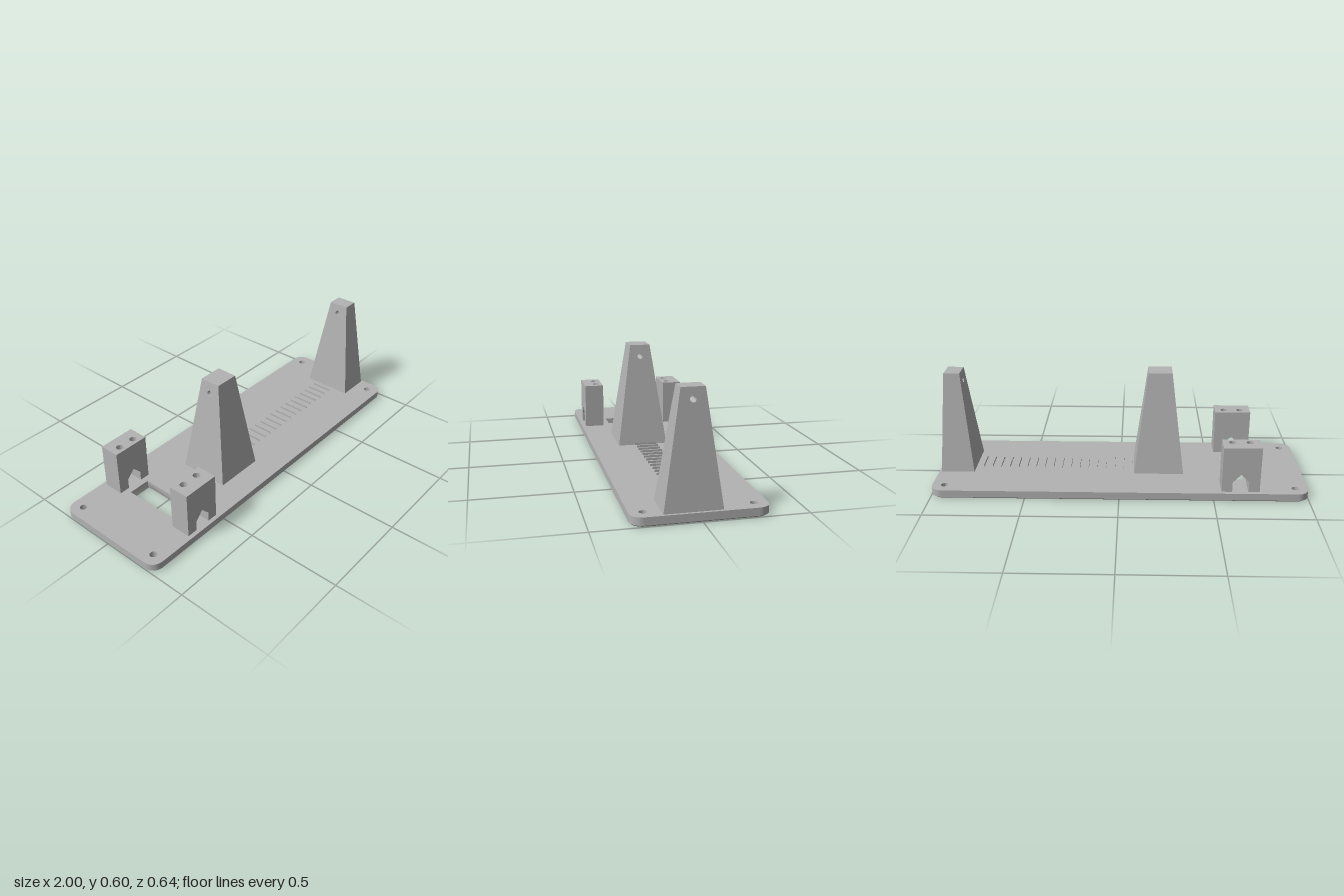
import * as THREE from 'three';
import { toCreasedNormals } from 'three/addons/utils/BufferGeometryUtils.js';

const TOP = 0.045; // top surface of the base plate
const BLIND = 0.22; // floor level of the screw holes in the brackets

const polygon = (pts) => new THREE.Shape(pts.map(([x, y]) => new THREE.Vector2(x, y)));
const rect = (x0, y0, x1, y1) => polygon([[x0, y0], [x1, y0], [x1, y1], [x0, y1]]);
const circle = (x, y, r) => new THREE.Path().absarc(x, y, r, 0, Math.PI * 2, true);

function extrude(shape, depth, steps = 1) {
  return new THREE.ExtrudeGeometry(shape, { depth, steps, bevelEnabled: false, curveSegments: 10 });
}

// Move every vertex by a rule, then rebuild the normals
function reshape(geometry, rule) {
  const p = geometry.attributes.position;
  const v = new THREE.Vector3();
  for (let i = 0; i < p.count; i++) {
    rule(v.fromBufferAttribute(p, i));
    p.setXYZ(i, v.x, v.y, v.z);
  }
  geometry.computeVertexNormals();
  return geometry;
}

// Rounded plate with corner holes, a window and a chamfered lower edge
function plateGeometry() {
  const X = 1, Z = 0.32, r = 0.06, c = 0.007;
  const s = new THREE.Shape();
  s.absarc(X - r, Z - r, r, 0, Math.PI / 2);
  s.absarc(-X + r, Z - r, r, Math.PI / 2, Math.PI);
  s.absarc(-X + r, -Z + r, r, Math.PI, Math.PI * 1.5);
  s.absarc(X - r, -Z + r, r, Math.PI * 1.5, Math.PI * 2);
  s.closePath();
  for (const x of [-0.935, 0.935]) for (const z of [-0.254, 0.254]) s.holes.push(circle(x, z, 0.019));
  s.holes.push(rect(-0.7, -0.15, -0.58, 0.155));
  const g = extrude(s, TOP, 2).rotateX(-Math.PI / 2);
  reshape(g, (v) => {
    if (v.y < 0.001) {
      v.x *= 1 - c / X;
      v.z *= 1 - c / Z;
    } else if (v.y < TOP - 0.001) v.y = c;
  });
  return toCreasedNormals(g, 0.6);
}

// Tapered tower with a teardrop hole running through it along x
function towerGeometry(base, top, height) {
  const s = polygon([[-0.098, TOP], [0.175, TOP], [0.094, height], [-0.017, height]].reverse());
  const hole = new THREE.Path();
  hole.absarc(0.039, 0.538, 0.0145, Math.PI * 0.8, Math.PI * 2.2);
  hole.lineTo(0.039, 0.556);
  hole.closePath();
  s.holes.push(hole);
  const g = extrude(s, 1).rotateY(-Math.PI / 2);
  return reshape(g, (v) => {
    const t = (v.y - TOP) / (height - TOP);
    const lo = THREE.MathUtils.lerp(base[0], top[0], t);
    const hi = THREE.MathUtils.lerp(base[1], top[1], t);
    v.x = v.x < -0.5 ? lo : hi;
  });
}

export function createModel() {
  const model = new THREE.Group();
  const grey = new THREE.MeshStandardMaterial({ color: 0xb3b3b3 });
  grey.name = 'grey';
  const add = (geometry, name, parent = model) => {
    const mesh = new THREE.Mesh(geometry, grey);
    mesh.name = name;
    parent.add(mesh);
    return mesh;
  };

  add(plateGeometry(), 'basePlate');
  add(towerGeometry([-0.349, -0.078], [-0.28, -0.152], 0.602), 'middleTower');
  add(towerGeometry([0.805, 0.987], [0.863, 0.949], 0.592), 'endTower');

  // Pair of brackets, each with a pointed notch below and two blind holes on top
  for (const side of [-1, 1]) {
    const bracket = new THREE.Group();
    bracket.name = side > 0 ? 'frontBracket' : 'backBracket';
    model.add(bracket);
    const body = polygon([
      [-0.74, TOP], [-0.682, TOP], [-0.682, 0.1], [-0.639, 0.146], [-0.596, 0.1],
      [-0.596, TOP], [-0.54, TOP], [-0.54, BLIND], [-0.74, BLIND],
    ]);
    const bodyMesh = add(extrude(body, 0.109), 'bracketBody', bracket);
    bodyMesh.position.z = side > 0 ? 0.189 : -0.298;
    const [near, far] = [0.189 * -side, 0.298 * -side];
    const cap = rect(-0.74, Math.min(near, far), -0.54, Math.max(near, far));
    for (const x of [-0.684, -0.593]) cap.holes.push(circle(x, -side * 0.225, 0.019));
    const capGeometry = extrude(cap, 0.297 - BLIND).rotateX(-Math.PI / 2);
    add(toCreasedNormals(capGeometry, 0.7), 'bracketCap', bracket).position.y = BLIND;
  }

  // Row of very thin scale marks between the towers
  const marks = new THREE.Group();
  marks.name = 'scaleMarks';
  model.add(marks);
  const markGeometry = new THREE.BoxGeometry(0.001, 0.012, 0.12);
  for (let i = 0; i < 18; i++) {
    add(markGeometry, 'scaleMark', marks).position.set(-0.07 + i * 0.049, TOP + 0.006, 0.025);
  }
  return model;
}
